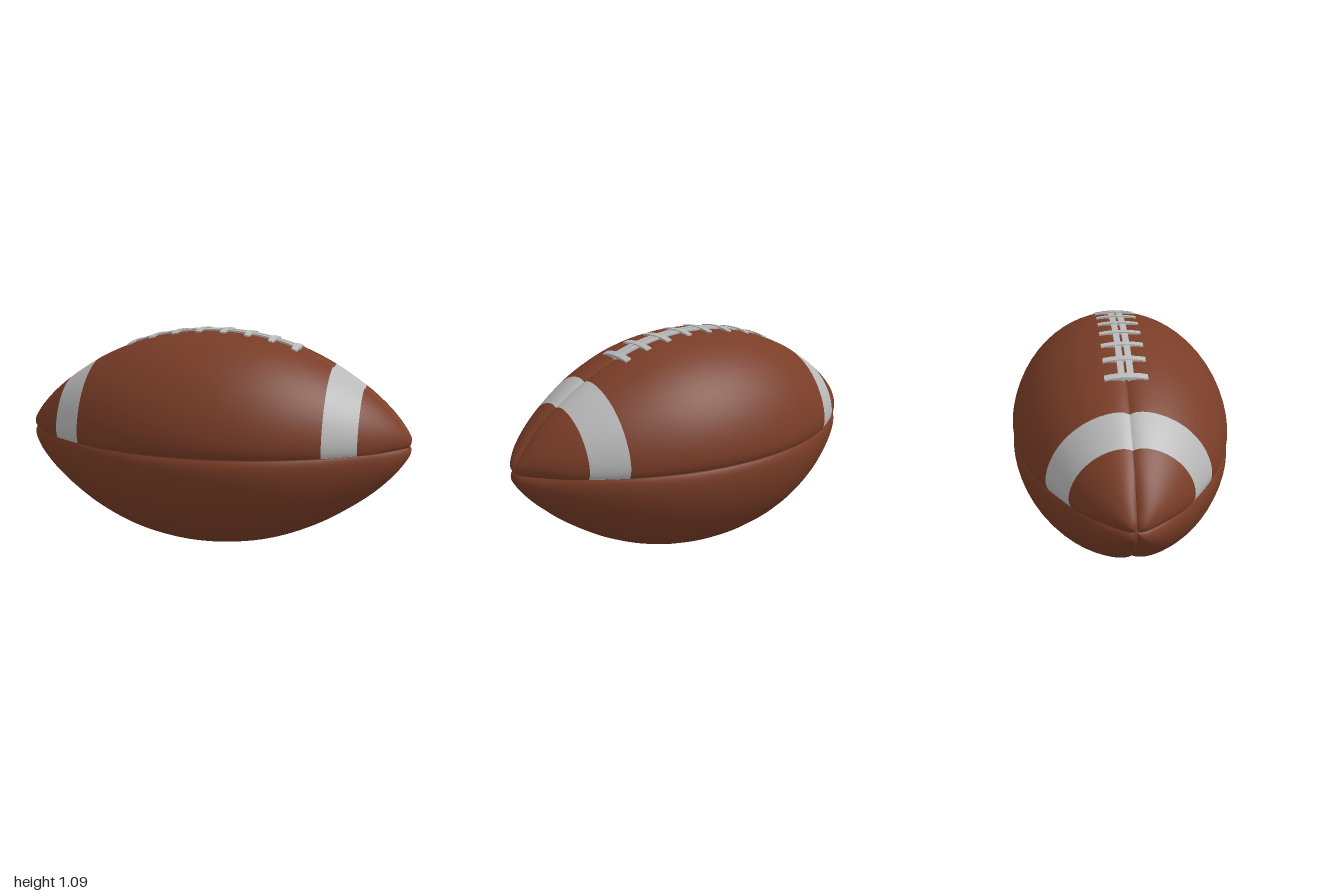
import * as THREE from 'three';

const CY = 0.545; // height of the long axis
const half = [[0.1, 0.543], [0.2, 0.531], [0.3, 0.511], [0.4, 0.481], [0.5, 0.441], [0.605, 0.389],
  [0.76, 0.29], [0.85, 0.219], [0.92, 0.152], [0.97, 0.092], [1.0, 0.045], [1.008, 0]];
const profile = [...half.map(([x, r]) => [-x, r]).reverse(), [0, 0.547], ...half];
const curve = new THREE.CatmullRomCurve3(profile.map(([x, r]) => new THREE.Vector3(x, r, 0)));
const STEPS = 5, RINGS = (profile.length - 1) * STEPS;
const QUAD = 26, AROUND = QUAD * 4;

// Ball radius at a given x
function radiusAt(x) {
  for (let i = 1; i < profile.length; i++) {
    if (x > profile[i][0]) continue;
    let lo = (i - 1) / (profile.length - 1), hi = i / (profile.length - 1);
    for (let k = 0; k < 20; k++) {
      const mid = (lo + hi) / 2;
      if (curve.getPoint(mid).x < x) lo = mid; else hi = mid;
    }
    return curve.getPoint(lo).y;
  }
  return 0;
}

// Four-panel body: a turned profile pressed in along four seams
function bodyGeometry() {
  const pos = [], leather = [], stripe = [];
  for (let i = 0; i <= RINGS; i++) {
    const p = curve.getPoint(i / RINGS), t = curve.getTangent(i / RINGS);
    const r = Math.max(0, p.y);
    const tipBlend = THREE.MathUtils.smoothstep(Math.abs(p.x), 0.8, 0.95);
    for (let j = 0; j < AROUND; j++) {
      const s = (j % QUAD) / QUAD; // rows crowd towards the seams
      const a = (Math.floor(j / QUAD) + s - 0.85 * Math.sin(2 * Math.PI * s) / (2 * Math.PI)) * Math.PI / 2;
      const d = r * Math.min(Math.abs(Math.sin(a)), Math.abs(Math.cos(a)));
      const depth = 0.023 * Math.exp(-d / 0.03);
      const rr = Math.max(0, r - depth * t.x);
      pos.push(p.x + depth * t.y * tipBlend, CY + rr * Math.cos(a), rr * Math.sin(a));
    }
  }
  for (let i = 0; i < RINGS; i++) {
    const x = Math.abs(curve.getPoint((i + 0.5) / RINGS).x);
    for (let j = 0; j < AROUND; j++) {
      const upper = j < QUAD || j >= 3 * QUAD;
      const list = upper && x > 0.605 && x < 0.76 ? stripe : leather;
      const k = (j + 1) % AROUND;
      const a = i * AROUND + j, b = i * AROUND + k, c = a + AROUND, e = b + AROUND;
      if (i > 0) list.push(a, b, c);
      if (i === 0) list.push(a, e, c);
      else if (i < RINGS - 1) list.push(b, e, c);
    }
  }
  const g = new THREE.BufferGeometry();
  g.setAttribute('position', new THREE.Float32BufferAttribute(pos, 3));
  g.setIndex([...leather, ...stripe]);
  g.addGroup(0, leather.length, 0);
  g.addGroup(leather.length, stripe.length, 1);
  g.computeVertexNormals();
  return g;
}

// Flat strap draped over the ball
function strap(name, cx, cz, length, width, thick, lift, material) {
  const g = new THREE.BoxGeometry(length, thick, width, Math.ceil(length / 0.03), 1, Math.ceil(width / 0.015)).toNonIndexed();
  const p = g.attributes.position;
  for (let i = 0; i < p.count; i++) {
    const x = p.getX(i) + cx, z = p.getZ(i) + cz;
    const r = radiusAt(x);
    p.setXYZ(i, x, p.getY(i) + CY + Math.sqrt(r * r - z * z) + lift, z);
  }
  g.computeVertexNormals();
  const m = new THREE.Mesh(g, material);
  m.name = name;
  return m;
}

export function createModel() {
  const leather = new THREE.MeshStandardMaterial({ color: 0x7a3d27 });
  leather.name = 'brown leather';
  const white = new THREE.MeshStandardMaterial({ color: 0xb9b9b9 });
  white.name = 'pale grey';

  const model = new THREE.Group();
  model.name = 'football';
  const body = new THREE.Mesh(bodyGeometry(), [leather, white]);
  body.name = 'body';
  model.add(body);

  // Two long laces and eight cross laces on the top seam
  const laces = new THREE.Group();
  laces.name = 'laces';
  for (const s of [-1, 1]) {
    laces.add(strap('longLace', 0, s * 0.021, 0.87, 0.03, 0.02, -0.008, white));
    for (const x of [0.062, 0.185, 0.305, 0.422])
      laces.add(strap('crossLace', s * x, 0, 0.028, 0.2, 0.014, -0.001, white));
  }
  model.add(laces);
  return model;
}
